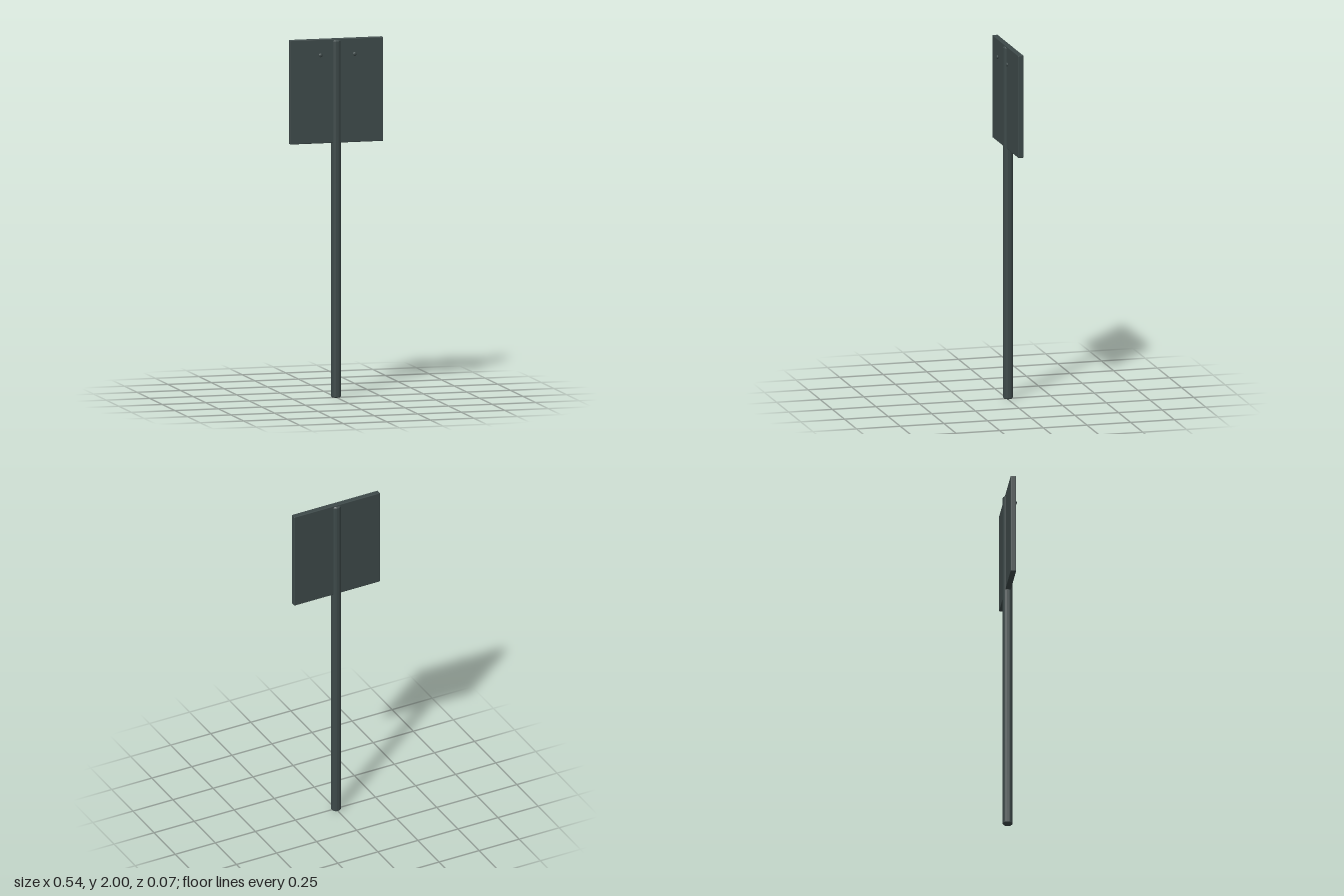
import * as THREE from 'three';
import { RoundedBoxGeometry } from 'three/addons/geometries/RoundedBoxGeometry.js';
import { toCreasedNormals } from 'three/addons/utils/BufferGeometryUtils.js';

const AXIS_Z = -0.006; // shared centre of the post and board

export function createModel() {
  const model = new THREE.Group();
  model.name = 'signPost';

  const darkMetal = new THREE.MeshStandardMaterial({ color: 0x3d4949 });
  darkMetal.name = 'dark grey green metal';

  const add = (name, geometry, x, y, z) => {
    const mesh = new THREE.Mesh(geometry, darkMetal);
    mesh.name = name;
    mesh.position.set(x, y, z);
    model.add(mesh);
    return mesh;
  };

  // Round post with small bevels at both ends
  const r = 0.0275, top = 1.993, bevel = 0.006;
  const profile = [
    [0, 0], [r - bevel, 0], [r, bevel], [r, top - bevel], [r - bevel, top], [0, top],
  ].map(([px, py]) => new THREE.Vector2(px, py));
  add('post', toCreasedNormals(new THREE.LatheGeometry(profile, 32), 0.6), 0, 0, AXIS_Z);

  // Flat sign board with softened edges
  add('board', new RoundedBoxGeometry(0.535, 0.58, 0.031, 3, 0.004), 0, 1.71, AXIS_Z);

  // Two flattened rivet heads in front of the board
  for (const side of [-1, 1]) {
    const rivet = add(side < 0 ? 'rightRivet' : 'leftRivet',
      new THREE.SphereGeometry(0.011, 20, 14), side * 0.098, 1.914, 0.027);
    rivet.scale.z = 0.55;
  }

  return model;
}
